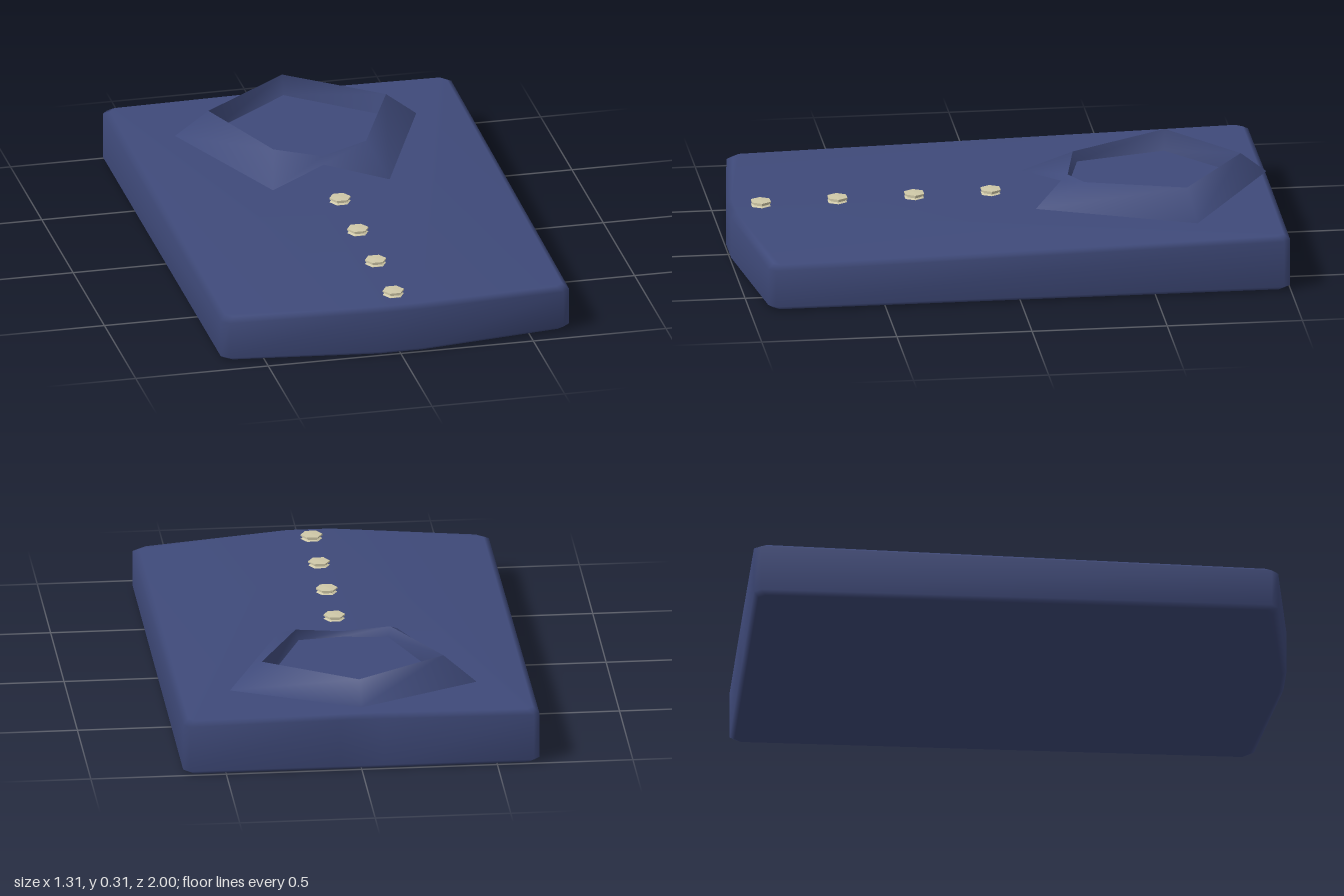
import * as THREE from 'three';

// Joins closed loops of points, lowest and outermost first, into bands of quads.
function loft(rings, caps = []) {
  const n = rings[0].length, index = [];
  for (let r = 0; r < rings.length - 1; r++)
    for (let i = 0; i < n; i++) {
      const j = (i + 1) % n, a = r * n, b = a + n;
      index.push(a + i, a + j, b + j, a + i, b + j, b + i);
    }
  const geo = new THREE.BufferGeometry();
  geo.setAttribute('position', new THREE.Float32BufferAttribute(rings.flat(2), 3));
  geo.setIndex(index.concat(caps));
  geo.computeVertexNormals();
  return geo;
}

// Gently crowned top, sloping down to the hem
function topHeight(x, z) {
  const t = (z + 1) / 2;
  const a = THREE.MathUtils.clamp((Math.abs(x) - 0.08) / 0.55, 0, 1);
  return 0.212 - 0.026 * t - a * (0.006 + 0.012 * t);
}

function bodyGeometry() {
  const half = [[0.08, 1], [0.63, 0.93], [0.657, 0.905], [0.657, -0.975], [0.635, -1], [0.08, -1]];
  const outline = half.concat(half.map(([x, z]) => [-x, z]).reverse());
  const ring = (inset, height) => outline.map(([x, z]) => {
    const px = Math.abs(x) < 0.1 ? x : x - Math.sign(x) * inset;
    const pz = z - Math.sign(z) * inset;
    return [px, height(x, z), pz];
  });
  const rings = [
    ring(0.018, () => 0),
    ring(0, () => 0.015),
    ring(0, (x, z) => topHeight(x, z) - 0.016),
    ring(0.022, topHeight),
  ];
  // Cap: a flat middle strip with a fan on each side
  const caps = [], n = outline.length, top = 3 * n;
  const tri = (a, b, c) => {
    caps.push(top + a, top + b, top + c);
    caps.push(a, c, b);
  };
  for (let i = 1; i < 5; i++) {
    tri(0, i, i + 1);
    tri(11, 11 - i - 1, 11 - i);
  }
  tri(0, 5, 6);
  tri(0, 6, 11);
  return loft(rings, caps);
}

// Mirrors a half loop running from front centre to back centre
function mirrorLoop(half) {
  return half.concat(half.slice(1, -1).reverse().map(([x, y, z]) => [-x, y, z]));
}

export function createModel() {
  const navy = new THREE.MeshStandardMaterial({ color: 0x3f4a7a, side: THREE.DoubleSide });
  navy.name = 'navy cloth';
  const cream = new THREE.MeshStandardMaterial({ color: 0xcfc8a8, flatShading: true });
  cream.name = 'cream button';

  const model = new THREE.Group();
  model.name = 'foldedShirt';
  const add = (name, geo, mat) => {
    const mesh = new THREE.Mesh(geo, mat);
    mesh.name = name;
    model.add(mesh);
    return mesh;
  };

  add('shirtBody', bodyGeometry(), navy);

  // Collar: pointed flaps falling away from a raised rim, and a short inner wall
  const hem = mirrorLoop([[0, 0.235, -0.23], [0.22, 0.205, -0.11], [0.455, 0.205, -0.68], [0, 0.24, -0.99]]);
  const rim = mirrorLoop([[0, 0.258, -0.255], [0.175, 0.286, -0.295], [0.335, 0.304, -0.655], [0, 0.314, -0.895]]);
  const inner = mirrorLoop([[0, 0.24, -0.265], [0.165, 0.25, -0.31], [0.32, 0.225, -0.65], [0, 0.24, -0.875]]);
  add('collarFlaps', loft([hem, rim]), navy);
  add('collarInside', loft([rim, inner]), navy);

  // Six-sided buttons with a narrow waist
  const profile = [[0, -0.02], [0.04, -0.02], [0.04, 0.002], [0.03, 0.006], [0.03, 0.01], [0.04, 0.013], [0.04, 0.019], [0, 0.021]]
    .map(([r, y]) => new THREE.Vector2(r, y));
  const buttonGeo = new THREE.LatheGeometry(profile, 6);
  [0.03, 0.313, 0.597, 0.88].forEach((z, i) => {
    const button = add('button' + (i + 1), buttonGeo, cream);
    button.position.set(0, topHeight(0, z) - 0.002, z);
    button.rotation.y = Math.PI / 6;
  });

  return model;
}
